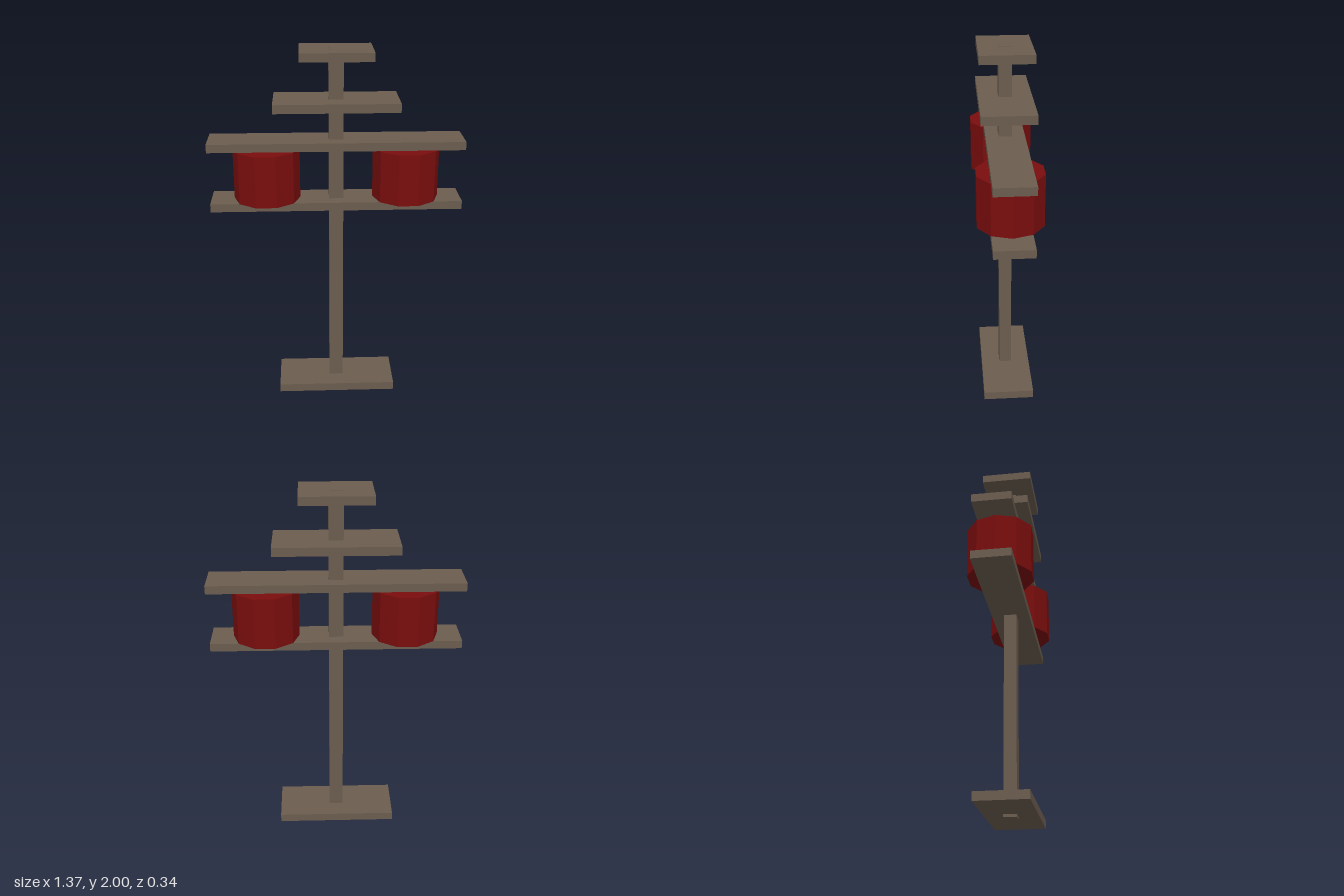
import * as THREE from 'three';

const wood = new THREE.MeshStandardMaterial({ color: 0x6b5d4f, flatShading: true });
const red = new THREE.MeshStandardMaterial({ color: 0x7a0d0d, flatShading: true });

export function createModel() {
  const group = new THREE.Group();

  // Box centred on the post axis, given its bottom and top heights
  const addBox = (name, width, depth, bottom, top) => {
    const mesh = new THREE.Mesh(new THREE.BoxGeometry(width, top - bottom, depth), wood);
    mesh.name = name;
    mesh.position.y = (bottom + top) / 2;
    group.add(mesh);
  };

  // Central post and the boards threaded on it
  addBox('post', 0.078, 0.07, 0, 2);
  addBox('baseBoard', 0.664, 0.282, 0.015, 0.062);
  addBox('lowerShelf', 1.36, 0.21, 1.142, 1.187);
  addBox('upperShelf', 1.37, 0.21, 1.475, 1.52);
  addBox('upperBoard', 0.664, 0.282, 1.69, 1.737);
  addBox('topBoard', 0.385, 0.282, 1.952, 1.998);

  // Ten-sided drums standing on the lower shelf, corners pointing along x
  const drumGeometry = new THREE.CylinderGeometry(0.18, 0.18, 0.283, 10, 1, false, Math.PI / 2);
  for (const [name, x] of [['leftDrum', 0.379], ['rightDrum', -0.376]]) {
    const drum = new THREE.Mesh(drumGeometry, red);
    drum.name = name;
    drum.position.set(x, 1.3285, 0);
    group.add(drum);
  }

  return group;
}
